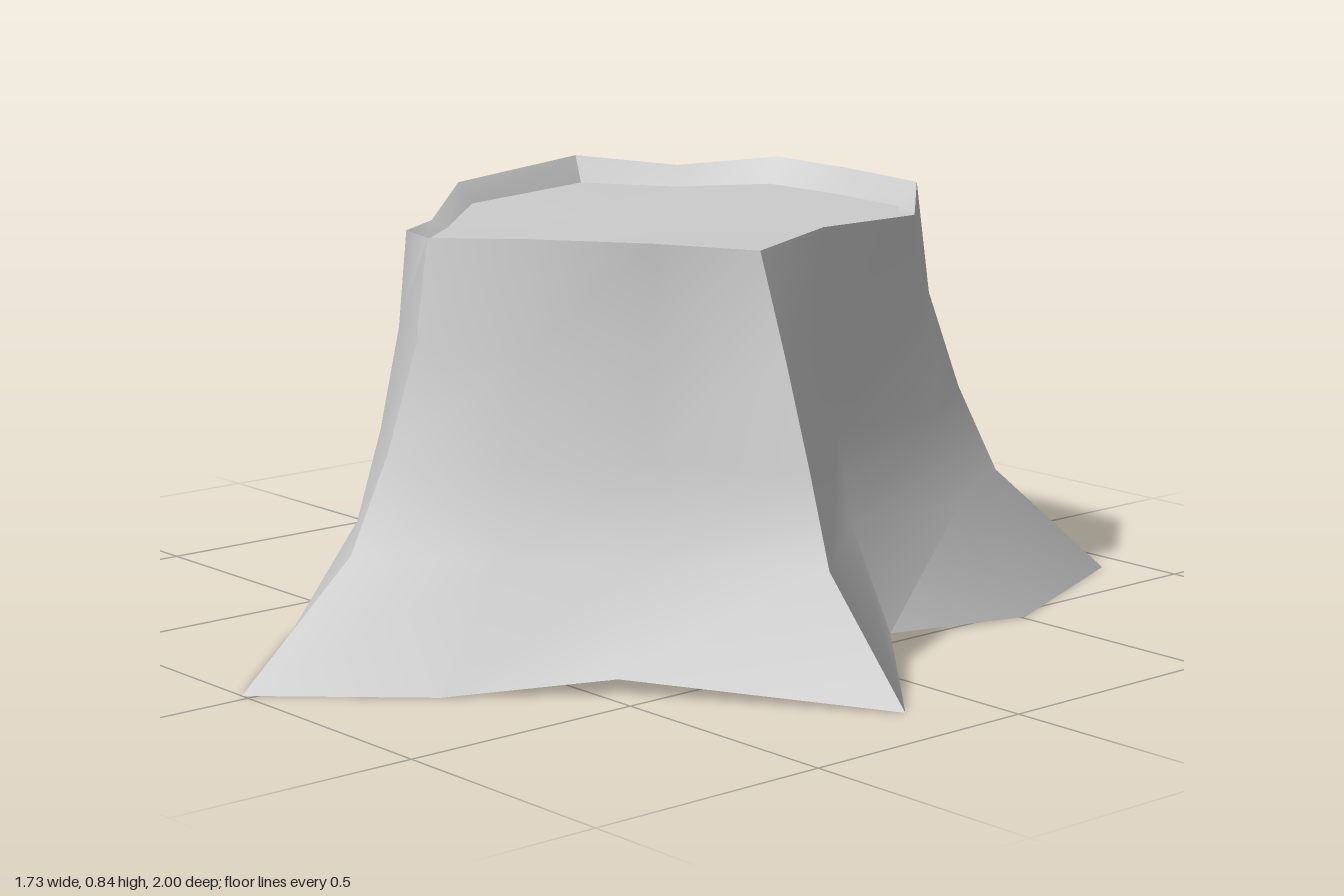
import * as THREE from 'three';
import { toCreasedNormals } from 'three/addons/utils/BufferGeometryUtils.js';

// Ground outline with root tips, clockwise seen from above: [x, y, z]
const BASE = [
  [-0.41, 0, -1.0], [-0.06, 0, -0.88], [0.36, 0, -0.93], [0.535, 0, -0.51], [0.475, 0.01, -0.19],
  [0.86, 0, 0.15], [0.43, 0.03, 0.47], [0.23, 0, 0.73], [-0.02, 0, 1.0], [-0.3, 0, 0.7],
  [-0.48, 0.01, 0.41], [-0.745, 0, 0.18], [-0.865, 0, -0.35], [-0.52, 0, -0.52],
];
// Uneven cut edge, matching the outline point for point
const TOP = [
  [-0.285, 0.84, -0.585], [-0.07, 0.835, -0.595], [0.14, 0.83, -0.58], [0.305, 0.797, -0.41], [0.305, 0.797, -0.16],
  [0.43, 0.795, 0.12], [0.3, 0.808, 0.27], [0.14, 0.815, 0.44], [-0.05, 0.805, 0.535], [-0.23, 0.79, 0.45],
  [-0.385, 0.775, 0.27], [-0.53, 0.82, 0.09], [-0.585, 0.84, -0.27], [-0.435, 0.82, -0.43],
];
// Root flare: [height, share of the spread from cut edge to ground outline]
const FLARE = [[0.22, 0.43], [0.4, 0.23], [0.6, 0.07]];
const RIGHT_FLARE = [0.49, 0.35, 0.18]; // the big side root leans out more
const N = BASE.length;
const CENTRE = [-0.07, 0, -0.06];

const material = new THREE.MeshStandardMaterial({ color: 0xcccccc });

function makeMesh(name, positions, crease) {
  let geometry = new THREE.BufferGeometry();
  geometry.setAttribute('position', new THREE.Float32BufferAttribute(positions, 3));
  geometry = toCreasedNormals(geometry, crease);
  const mesh = new THREE.Mesh(geometry, material);
  mesh.name = name;
  return mesh;
}

// Skin between successive rings
function loft(rings) {
  const out = [];
  for (let r = 0; r < rings.length - 1; r++) {
    for (let i = 0; i < N; i++) {
      const j = (i + 1) % N, a = rings[r], b = rings[r + 1];
      out.push(...a[j], ...a[i], ...b[i], ...a[j], ...b[i], ...b[j]);
    }
  }
  return out;
}

// Cap from a ring to a central point
function fan(ring, centre, up) {
  const out = [];
  ring.forEach((p, i) => {
    const q = ring[(i + 1) % N];
    out.push(...(up ? [...q, ...p, ...centre] : [...p, ...q, ...centre]));
  });
  return out;
}

export function createModel() {
  const group = new THREE.Group();
  group.name = 'treeStump';

  // Flared trunk with roots
  const middle = FLARE.map(([y, share], level) => TOP.map((t, i) => {
    const s = i === 5 ? RIGHT_FLARE[level] : share;
    return [t[0] + (BASE[i][0] - t[0]) * s, y, t[2] + (BASE[i][2] - t[2]) * s];
  }));
  group.add(makeMesh('trunkAndRoots', loft([BASE, ...middle, TOP]), 0.9));

  // Bevelled rim dropping to the sunken cut face
  const inner = TOP.map(([x, y, z]) => [
    x + (CENTRE[0] - x) * 0.07, 0.77 + (y - 0.8) * 0.4, z + (CENTRE[2] - z) * 0.07,
  ]);
  group.add(makeMesh('rim', loft([TOP, inner]), 0.6));
  group.add(makeMesh('cutFace', fan(inner, [CENTRE[0], 0.775, CENTRE[2]], true), 0.6));

  // Underside
  group.add(makeMesh('underside', fan(BASE, [0, 0, 0], false), 0.6));
  return group;
}
